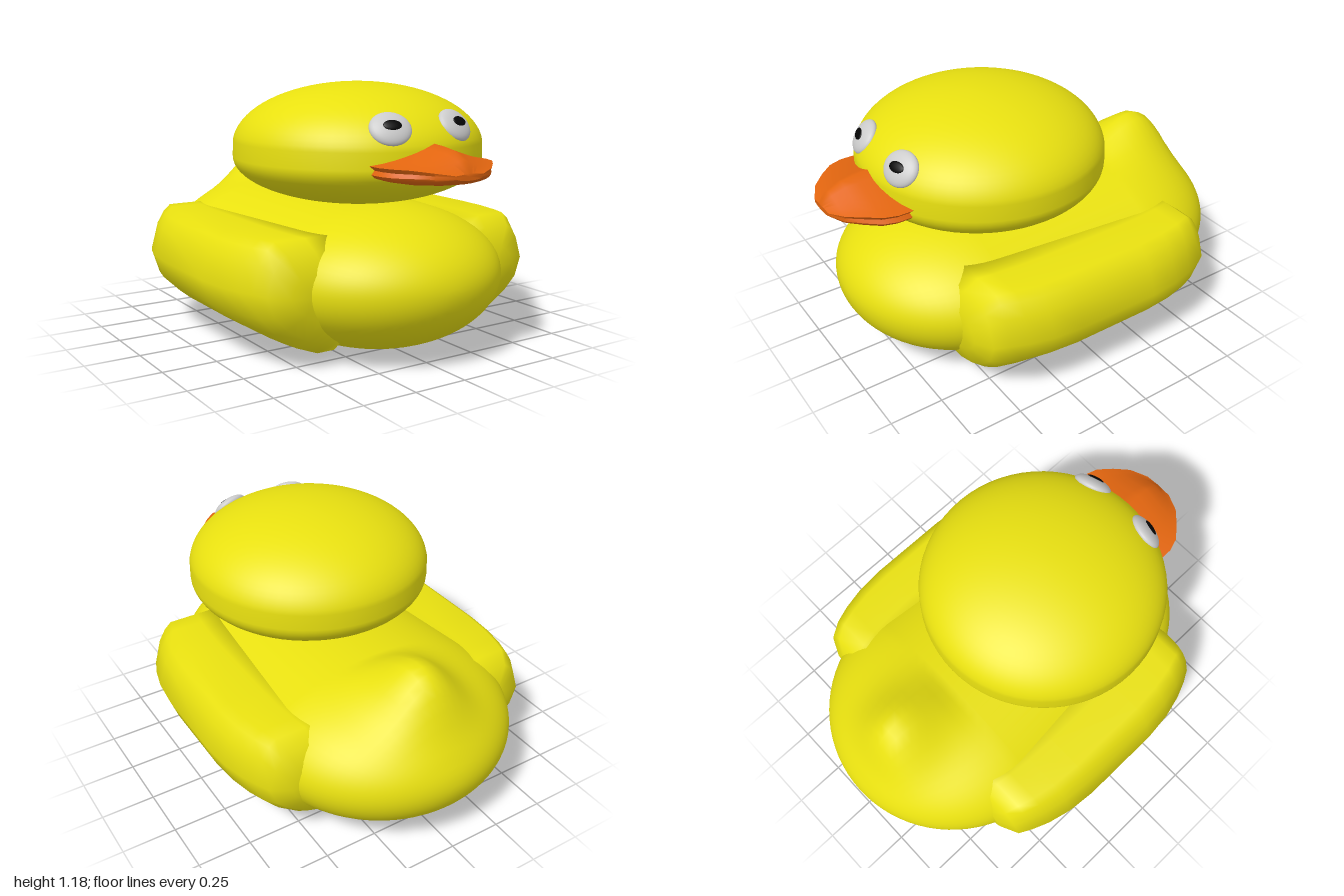
import * as THREE from 'three';
import { mergeVertices, toCreasedNormals } from 'three/addons/utils/BufferGeometryUtils.js';

const paint = (color, roughness = 0.6) => new THREE.MeshStandardMaterial({ color, roughness });

function addMesh(parent, name, geometry, material) {
  const mesh = new THREE.Mesh(geometry, material);
  mesh.name = name;
  parent.add(mesh);
  return mesh;
}

// Skin over closed rings of [x, y, z], anticlockwise seen from +z, ordered by rising z
function loft(rings) {
  const n = rings[0].length, pos = rings.flat(2), index = [];
  for (let i = 0; i < rings.length - 1; i++) {
    for (let j = 0; j < n; j++) {
      const k = (j + 1) % n;
      const a = i * n + j, b = i * n + k, c = b + n, d = a + n;
      index.push(a, b, c, a, c, d);
    }
  }
  [0, rings.length - 1].forEach((r) => {
    const centre = pos.length / 3;
    for (let c = 0; c < 3; c++) pos.push(rings[r].reduce((s, p) => s + p[c], 0) / n);
    for (let j = 0; j < n; j++) {
      const a = r * n + j, b = r * n + (j + 1) % n;
      index.push(centre, ...(r === 0 ? [b, a] : [a, b]));
    }
  });
  const g = new THREE.BufferGeometry();
  g.setAttribute('position', new THREE.Float32BufferAttribute(pos, 3));
  g.setIndex(index);
  g.computeVertexNormals();
  return g;
}

// Unit sphere, poles along z or y, with every vertex moved by a rule
function mouldedSphere(rule, polesAlongZ) {
  let g = new THREE.SphereGeometry(1, 64, 40);
  if (polesAlongZ) g.rotateX(Math.PI / 2);
  g.deleteAttribute('uv');
  g.deleteAttribute('normal');
  g = mergeVertices(g, 1e-4);
  const p = g.attributes.position, v = new THREE.Vector3();
  for (let i = 0; i < p.count; i++) {
    rule(v.fromBufferAttribute(p, i));
    p.setXYZ(i, v.x, v.y, v.z);
  }
  g.computeVertexNormals();
  return g;
}

// Piecewise-linear value from [key, value] pairs with falling keys
function sample(table, key) {
  for (let i = 0; i < table.length - 1; i++) {
    const [a, va] = table[i], [b, vb] = table[i + 1];
    if (key <= a && key >= b) return va + ((vb - va) * (a - key)) / (a - b);
  }
  return 0;
}

// Long flattened body with a tail pulled up at the back
const TAIL = [[-0.4, 0], [-0.64, 0.15], [-0.72, 0.175], [-0.8, 0.155], [-0.9, 0.03], [-0.96, 0]];
function bodyRule(v) {
  const front = v.z > 1e-3;
  const up = Math.max(0, v.y) / (Math.hypot(v.x, v.y) + 1e-6);
  v.x *= front ? 0.57 : 0.62;
  v.y = 0.345 + v.y * (v.y < 0 ? 0.34 : front ? 0.31 : 0.34);
  v.z = front ? 0.36 + v.z * 0.57 : -0.38 + v.z * 0.62;
  v.y += sample(TAIL, v.z) * up * Math.exp(-((v.x / 0.18) ** 2));
}

// Flat-topped head, shallower below its widest line
function headRule(v) {
  const y = v.y > 0.01 ? 0.9 + v.y * 0.285 : 0.85 + v.y * 0.21;
  v.set(v.x * 0.57, y, 0.215 + v.z * 0.57);
}

// Wing outline across x and y, closing in towards both ends
function wingGeometry() {
  const outline = [[0.33, 0.06], [0.43, 0.06], [0.55, 0.1], [0.67, 0.175], [0.75, 0.25],
    [0.79, 0.36], [0.75, 0.48], [0.71, 0.535], [0.67, 0.565], [0.5, 0.565], [0.33, 0.565]];
  const half = [[0.2, 1, 1], [0.34, 0.97, 1], [0.45, 0.91, 1], [0.53, 0.84, 1], [0.59, 0.77, 0.8], [0.63, 0.58, 0.42]];
  const stations = [...half.map(([z, a, b]) => [-z, a, b]).reverse(), ...half];
  return loft(stations.map(([z, sx, sy]) =>
    outline.map(([x, y]) => [0.33 + (x - 0.33) * sx, 0.33 + (y - 0.33) * sy, z])));
}

// Bill with a raised ridge, a mouth groove and a rounded underside
function billGeometry() {
  // z, half width, ridge height, edge height, underside height
  const stations = [[0.6, 0.26, 0.955, 0.87, 0.8], [0.72, 0.28, 0.955, 0.87, 0.79], [0.78, 0.28, 0.95, 0.87, 0.79],
    [0.84, 0.26, 0.945, 0.87, 0.79], [0.9, 0.21, 0.935, 0.868, 0.795], [0.96, 0.15, 0.905, 0.86, 0.805], [1, 0.07, 0.855, 0.848, 0.825]];
  return toCreasedNormals(loft(stations.map(([z, w, ridge, edge, low]) => {
    const ring = [], lip = edge - (edge - low) * 0.45;
    for (let i = 0; i <= 12; i++) {
      const u = 1 - i / 6;
      ring.push([u * w, edge + (ridge - edge) * (1 - Math.abs(u)) ** 1.3, z]);
    }
    ring.push([-0.93 * w, (edge + lip) / 2, z]);
    for (let i = 0; i <= 10; i++) {
      const a = Math.PI * (1 + i / 10);
      ring.push([Math.cos(a) * w * 0.97, lip + Math.sin(a) * (lip - low), z]);
    }
    ring.push([0.93 * w, (edge + lip) / 2, z]);
    return ring;
  })), 0.8);
}

export function createModel() {
  const duck = new THREE.Group();
  duck.name = 'duck';
  const yellow = paint(0xe8e010), orange = paint(0xe2650f), white = paint(0xcccccc), black = paint(0x060606);

  addMesh(duck, 'body', mouldedSphere(bodyRule, true), yellow);
  addMesh(duck, 'head', mouldedSphere(headRule, false), yellow);
  addMesh(duck, 'bill', billGeometry(), orange);

  const wing = wingGeometry();
  addMesh(duck, 'leftWing', wing, yellow);
  addMesh(duck, 'rightWing', wing, yellow).rotation.y = Math.PI;

  // Eyes lie on the head, facing along its surface normal
  const ball = new THREE.SphereGeometry(1, 32, 20);
  for (const side of [1, -1]) {
    const eye = new THREE.Group();
    eye.name = side > 0 ? 'leftEye' : 'rightEye';
    eye.position.set(side * 0.168, 1.012, 0.7);
    eye.lookAt(eye.position.clone().add(new THREE.Vector3(side * 0.45, 1.2, 1.53)));
    addMesh(eye, 'eyeball', ball, white).scale.set(0.092, 0.08, 0.035);
    const pupil = addMesh(eye, 'pupil', ball, black);
    pupil.scale.set(0.04, 0.024, 0.008);
    pupil.position.z = 0.032;
    duck.add(eye);
  }
  return duck;
}
